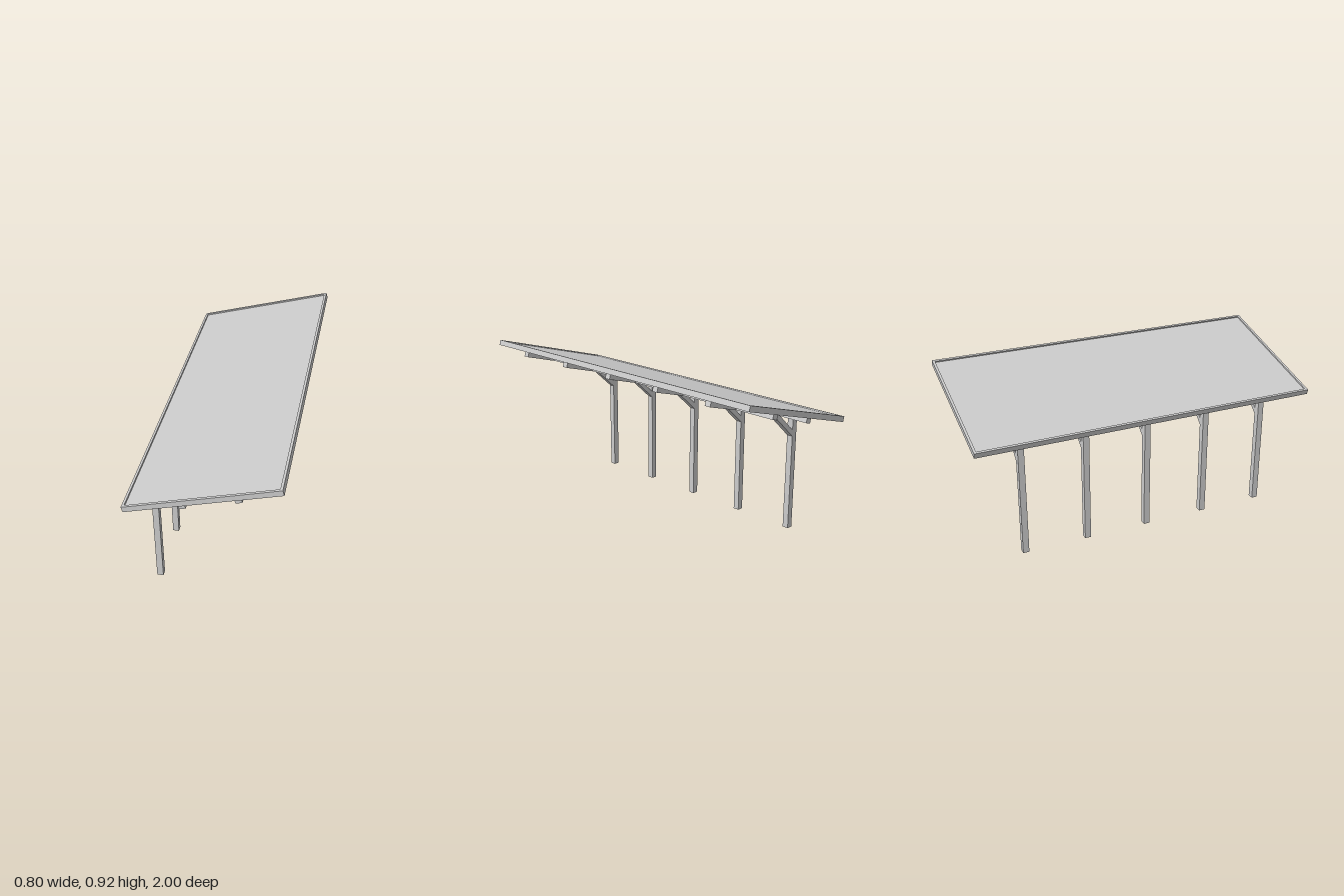
import * as THREE from 'three';

const material = new THREE.MeshStandardMaterial({ color: 0xcccccc, flatShading: true });
const SLOPE = Math.atan(0.285);
const ROOF_Y = 0.7935;
const LENGTH = 0.824, DEPTH = 2, THICK = 0.031, RIM = 0.014, PANEL = 0.015;
const BEAM = 0.035;
const BEAM_BOTTOM = -0.044;

function add(parent, name, geometry, x = 0, y = 0, z = 0) {
  const mesh = new THREE.Mesh(geometry, material);
  mesh.name = name;
  mesh.position.set(x, y, z);
  parent.add(mesh);
  return mesh;
}

// Side profile extruded to the width of a beam, centred on z = 0
function beamProfile(points) {
  const shape = new THREE.Shape(points.map(([x, y]) => new THREE.Vector2(x, y)));
  return new THREE.ExtrudeGeometry(shape, { depth: BEAM, bevelEnabled: false }).translate(0, 0, -BEAM / 2);
}

// Height of the panel's underside above a given x
const undersideAt = (x) => ROOF_Y + x * Math.tan(SLOPE) - PANEL / 2 / Math.cos(SLOPE);

export function createModel() {
  const model = new THREE.Group();
  model.name = 'leanToShelter';

  // Sloping roof: thin panel held in a raised rim
  const roof = new THREE.Group();
  roof.name = 'roof';
  roof.position.y = ROOF_Y;
  roof.rotation.z = SLOPE;
  model.add(roof);
  add(roof, 'roofPanel', new THREE.BoxGeometry(LENGTH - RIM, PANEL, DEPTH - RIM));
  for (const s of [-1, 1]) {
    add(roof, 'sideRim', new THREE.BoxGeometry(RIM, THICK, DEPTH), s * (LENGTH - RIM) / 2);
    add(roof, 'endRim', new THREE.BoxGeometry(LENGTH - 2 * RIM, THICK, RIM), 0, 0, s * (DEPTH - RIM) / 2);
  }

  // Purlins running the length of the roof
  const beamTop = -PANEL / 2;
  const purlinBottom = BEAM_BOTTOM + 0.001;
  for (const x of [-0.109, 0.18]) {
    add(roof, 'purlin', new THREE.BoxGeometry(BEAM, beamTop - purlinBottom, DEPTH - 2 * RIM),
      x, (beamTop + purlinBottom) / 2);
  }

  // Five frames, each with a rafter, post and diagonal brace
  const rafterStart = -0.126, rafterEnd = LENGTH / 2 - RIM;
  const rafter = new THREE.BoxGeometry(rafterEnd - rafterStart, beamTop - BEAM_BOTTOM, BEAM);
  const post = beamProfile([[-0.32, 0], [-0.285, 0], [-0.285, undersideAt(-0.285)], [-0.32, undersideAt(-0.32)]]);
  const brace = beamProfile([[-0.285, 0.551], [-0.1, 0.717], [-0.09, 0.745], [-0.112, 0.745], [-0.285, 0.587]]);
  for (let i = -2; i <= 2; i++) {
    const z = i * 0.367;
    add(roof, 'rafter', rafter, (rafterStart + rafterEnd) / 2, (beamTop + BEAM_BOTTOM) / 2, z);
    add(model, 'post', post, 0, 0, z);
    add(model, 'brace', brace, 0, 0, z);
  }
  return model;
}
